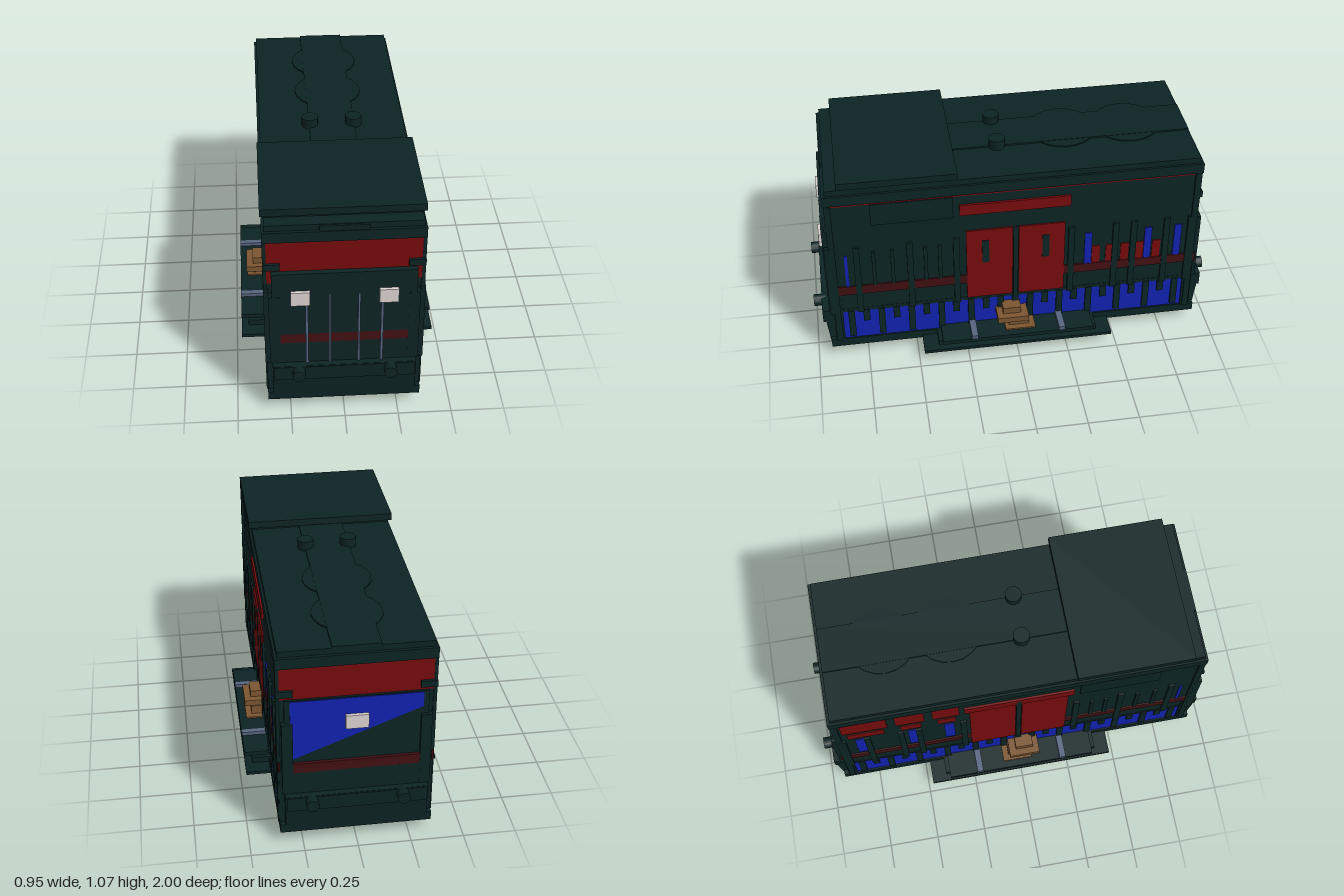
import * as THREE from 'three';

const mat = (name, color) => {
  const m = new THREE.MeshStandardMaterial({ color });
  m.name = name;
  return m;
};

export function createModel() {
  const green = mat('dark green', 0x0d2424);
  const red = mat('red', 0x770b0d);
  const maroon = mat('maroon', 0x421012);
  const blue = mat('blue', 0x1222b0);
  const white = mat('lamp white', 0xded3d3);
  const steel = mat('steel', 0x56657f);
  const brown = mat('brown', 0x7c5632);

  const root = new THREE.Group();
  root.name = 'locomotive';

  // Box given by its limits on each axis
  const box = (name, m, x0, x1, y0, y1, z0, z1, parent = root) => {
    const mesh = new THREE.Mesh(new THREE.BoxGeometry(x1 - x0, y1 - y0, z1 - z0), m);
    mesh.position.set((x0 + x1) / 2, (y0 + y1) / 2, (z0 + z1) / 2);
    mesh.name = name;
    parent.add(mesh);
    return mesh;
  };
  const cyl = (name, m, r, h, x, y, z, axis = 'y', n = 12) => {
    const mesh = new THREE.Mesh(new THREE.CylinderGeometry(r, r, h, n), m);
    if (axis === 'x') mesh.rotation.z = Math.PI / 2;
    if (axis === 'z') mesh.rotation.x = Math.PI / 2;
    mesh.position.set(x, y, z);
    mesh.name = name;
    root.add(mesh);
    return mesh;
  };

  // Underframe, body core and roof layers
  box('underframe', green, -0.355, 0.355, 0.06, 0.105, -0.93, 0.93);
  box('skirtCore', blue, -0.347, 0.347, 0.105, 0.28, -0.86, 0.86);
  box('body', green, -0.35, 0.35, 0.28, 0.93, -0.895, 0.895);
  box('eaveStrip', red, -0.352, 0.352, 0.93, 0.942, -0.89, 0.89);
  box('lowerRoof', green, -0.361, 0.361, 0.942, 0.995, -0.905, 0.905);
  box('upperRoof', green, -0.35, 0.35, 0.995, 1.024, -0.89, 0.89);
  box('cabRoof', green, -0.366, 0.366, 1.035, 1.07, 0.275, 0.835);
  box('cabRoofRiser', green, -0.35, 0.35, 1.02, 1.036, 0.285, 0.825);
  box('roofWalkway', green, -0.11, 0.11, 1.02, 1.032, -0.89, 0.28);
  box('roofWalkwayFront', green, -0.11, 0.11, 0.995, 1.02, 0.82, 0.9);
  for (const z of [-0.6, -0.28]) cyl('roofFan', green, 0.165, 0.012, 0, 1.024, z, 'y', 20);
  for (const x of [-0.105, 0.105]) cyl('exhaust', green, 0.04, 0.055, x, 1.044, 0.055, 'y', 12);

  // Ends: tapered beams, buffers and stripe
  for (const s of [-1, 1]) {
    const span = (a, b) => (s > 0 ? [a, b] : [-b, -a]);
    const end = new THREE.Group();
    end.name = s > 0 ? 'frontEnd' : 'rearEnd';
    root.add(end);
    const beam = box('bufferBeam', green, -0.33, 0.33, 0.06, 0.28, ...span(0.86, 0.955), end);
    const p = beam.geometry.attributes.position;
    for (let i = 0; i < p.count; i++) {
      if (p.getZ(i) * s > 0 && p.getY(i) < 0) p.setZ(i, p.getZ(i) - s * 0.025);
    }
    beam.geometry.computeVertexNormals();
    box('beamLip', green, -0.325, 0.325, 0.205, 0.278, ...span(0.95, 0.961), end);
    for (const x of [-0.21, 0.21]) cyl('buffer', green, 0.03, 0.06, x, 0.254, s * 0.97, 'z', 12);
    box('lowerPanel', green, -0.355, 0.355, 0.1, 0.395, ...span(0.86, 0.905), end);
    box('lowerCover', green, -0.325, 0.325, 0.28, 0.395, ...span(0.89, 0.925), end);
    box('endStripe', maroon, -0.29, 0.29, 0.395, 0.445, ...span(0.89, 0.925), end);
    box('redBand', red, -0.345, 0.345, s > 0 ? 0.72 : 0.78, 0.941, ...span(0.89, 0.899), end);
    for (const m of [-1, 1]) {
      const x = (a, b) => (m > 0 ? [a, b] : [-b, -a]);
      box('cornerPost', green, ...x(0.29, 0.34), 0.28, 0.66, ...span(0.88, 0.926), end);
      box('cornerEdge', green, ...x(0.345, 0.361), 0.1, 0.94, ...span(0.87, 0.9), end);
      box('cornerBracket', green, ...x(0.285, 0.361), 0.797, 0.83, ...span(0.87, 0.912), end);
    }
  }

  // Front hood face with lamps and handrails
  box('hoodPanel', green, -0.325, 0.325, 0.445, 0.785, 0.88, 0.925);
  for (const s of [-1, 1]) {
    box('headlamp', white, s * 0.198 - 0.043, s * 0.198 + 0.043, 0.62, 0.692, 0.92, 0.941);
    box('lampConduit', steel, s * 0.17 - 0.006, s * 0.17 + 0.006, 0.28, 0.62, 0.92, 0.932);
    box('handrail', steel, s * 0.066 - 0.005, s * 0.066 + 0.005, 0.28, 0.67, 0.92, 0.932);
  }

  // Rear face with diagonal blue panel and single lamp
  box('rearPanel', green, -0.325, 0.325, 0.445, 0.78, -0.91, -0.88);
  const tri = new THREE.Shape();
  tri.moveTo(0.3, 0.46);
  tri.lineTo(0.3, 0.775);
  tri.lineTo(-0.3, 0.775);
  tri.lineTo(-0.3, 0.7);
  const panel = new THREE.Mesh(new THREE.ExtrudeGeometry(tri, { depth: 0.004, bevelEnabled: false }), blue);
  panel.name = 'rearBluePanel';
  panel.position.z = -0.914;
  root.add(panel);
  box('rearLamp', white, -0.052, 0.052, 0.62, 0.69, -0.93, -0.91);

  // Both sides
  for (const s of [-1, 1]) {
    const side = new THREE.Group();
    side.name = s > 0 ? 'leftSide' : 'rightSide';
    root.add(side);
    const b = (name, m, x0, x1, ...r) => box(name, m, ...(s > 0 ? [x0, x1] : [-x1, -x0]), ...r, side);
    b('sill', green, 0.34, 0.352, 0.28, 0.3, -0.9, 0.9);
    b('sideStripe', maroon, 0.349, 0.358, 0.395, 0.445, 0.24, 0.91);
    b('sideStripe', maroon, 0.349, 0.358, 0.395, 0.445, -0.91, -0.24);

    // Skirt ribs, alternating long and short
    for (let i = 0; i < 23; i++) {
      const z = -0.82 + i * 0.0745;
      b('skirtRib', green, 0.34, 0.356, i % 2 ? 0.215 : 0.12, 0.285, z - 0.016, z + 0.016);
    }

    // Sliding doors
    const top = s > 0 ? 0.72 : 0.86;
    for (const d of [-1, 1]) {
      const z0 = d > 0 ? 0.015 : -0.242;
      b('door', red, 0.349, 0.358, 0.3, top, z0, z0 + 0.227);
      if (s > 0) b('doorWindow', green, 0.355, 0.361, 0.52, 0.655, d * 0.148 - 0.017, d * 0.148 + 0.017);
    }
    b('doorPost', green, 0.349, 0.361, 0.28, top, -0.012, 0.012);
    b('doorHeader', red, 0.349, 0.361, 0.82, 0.88, -0.265, 0.27);

    // Vertical pillars and short louvres
    for (const z of [0.77, 0.515, 0.29, -0.275, -0.495, -0.585, -0.75, -0.87]) {
      b('pillar', green, 0.349, 0.362, 0.28, 0.685, z - 0.015, z + 0.015);
    }
    for (const z of [0.69, 0.6, 0.44, 0.37]) {
      b('louvre', green, 0.349, 0.36, 0.445, 0.65, z - 0.009, z + 0.009);
    }
    b('cabPanel', green, 0.349, 0.358, 0.81, 0.93, 0.3, 0.69);
    b('endCap', green, 0.34, 0.362, 0.28, 0.69, 0.885, 0.92);

    // Window openings towards the rear
    if (s > 0) {
      for (const z of [-0.36, -0.66, -0.81]) {
        b('blueWindow', blue, 0.349, 0.356, 0.445, 0.635, z - 0.018, z + 0.018);
      }
      for (const z of [-0.4, -0.47, -0.545, -0.62, -0.705]) {
        b('redWindow', red, 0.349, 0.355, 0.445, 0.55, z - 0.02, z + 0.02);
      }
    } else {
      for (const [z0, z1] of [[-0.86, -0.64], [-0.6, -0.46], [-0.42, -0.29]]) {
        b('upperWindow', red, 0.349, 0.356, 0.8, 0.925, z0, z1);
        b('middleWindow', red, 0.349, 0.355, 0.71, 0.77, z0 + 0.02, z1 - 0.02);
        b('lowerWindow', blue, 0.349, 0.355, 0.47, 0.68, z0 + 0.05, z0 + 0.1);
      }
    }
    b('frontBlueSlit', blue, 0.349, 0.355, 0.445, 0.635, 0.815, 0.83);

    // Footboards with steel steps
    b('lowerFootboard', green, 0.34, 0.475, 0.06, 0.076, -0.475, 0.475);
    b('footboardFrame', green, 0.34, 0.44, 0.076, 0.106, -0.4, 0.4);
    b('upperFootboard', green, 0.34, 0.475, 0.106, 0.127, -0.38, 0.38);
    for (const z of [-0.22, 0.22]) b('step', steel, 0.34, 0.475, 0.127, 0.145, z - 0.016, z + 0.016);

    // Stacked brown fittings: z0, z1, y0, y1, outer x
    for (const [z0, z1, y0, y1, x] of [
      [-0.09, 0.06, 0.1, 0.135, 0.44], [-0.06, 0.04, 0.135, 0.182, 0.41],
      [-0.055, 0.1, 0.182, 0.213, 0.443], [-0.02, 0.07, 0.213, 0.248, 0.41],
    ]) b('brownBlock', brown, 0.345, x, y0, y1, z0, z1);
  }

  // Wheels
  for (const z of [-0.69, -0.405, 0.405, 0.69]) {
    for (const x of [-0.22, 0.22]) cyl('wheel', steel, 0.09, 0.024, x, 0.09, z, 'x', 20);
  }
  return root;
}
